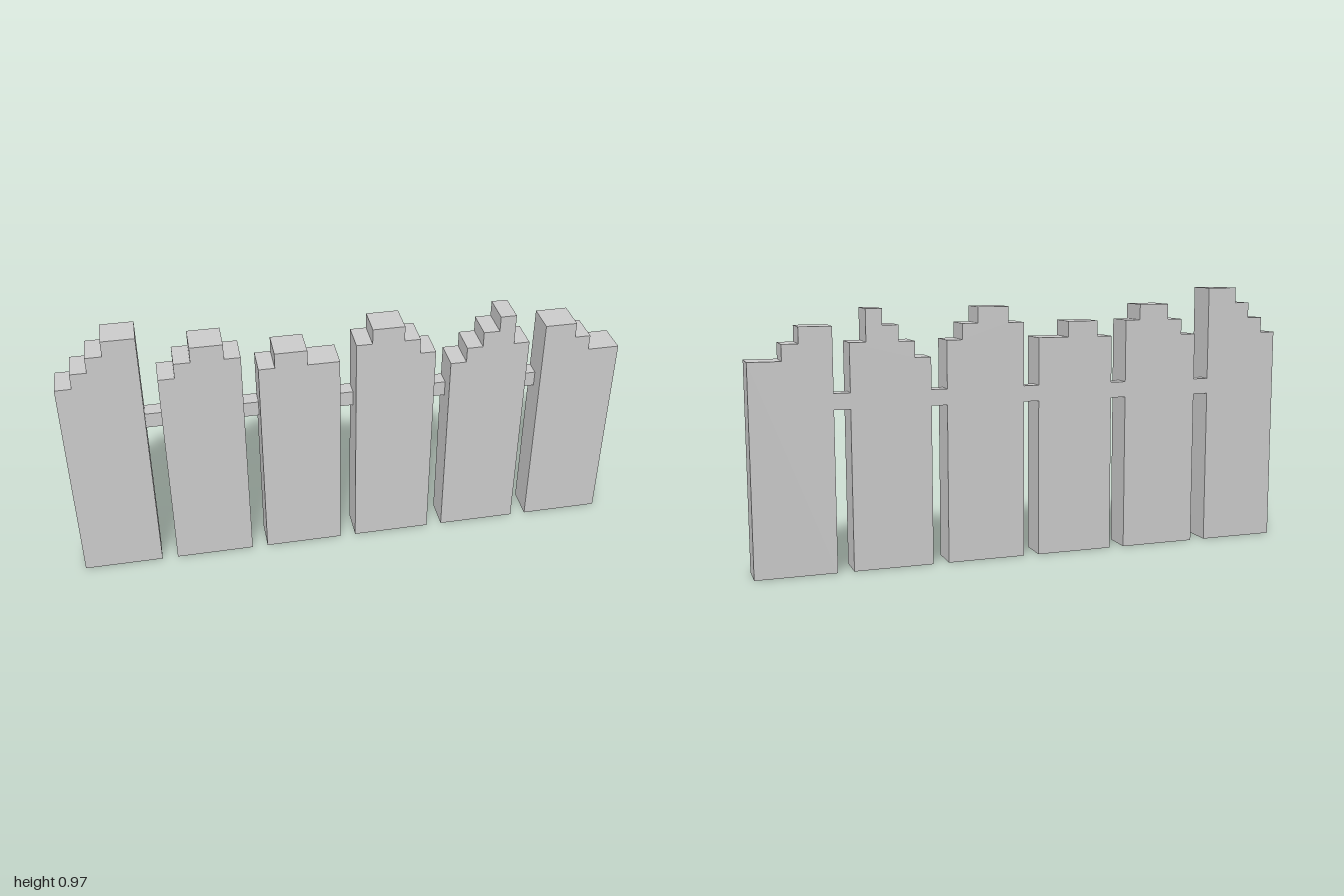
import * as THREE from 'three';

const U = 2 / 35; // one grid step

// column heights of each picket, left to right, in grid steps
const PICKETS = [
  [14, 15, 16, 17, 17],
  [14, 15, 16, 16, 15],
  [14, 15, 15, 14, 14],
  [15, 16, 16, 15, 14],
  [13, 14, 15, 16, 14],
  [15, 15, 14, 13, 13],
];

// stepped outline extruded to the picket's thickness
function picketGeometry(heights) {
  const shape = new THREE.Shape();
  shape.moveTo(0, 0);
  shape.lineTo(heights.length * U, 0);
  for (let i = heights.length - 1; i >= 0; i--) {
    if (heights[i] !== heights[i + 1]) shape.lineTo((i + 1) * U, heights[i] * U);
    if (heights[i] !== heights[i - 1]) shape.lineTo(i * U, heights[i] * U);
  }
  shape.closePath();
  return new THREE.ExtrudeGeometry(shape, { depth: 2 * U, bevelEnabled: false });
}

export function createModel() {
  const group = new THREE.Group();
  group.name = 'picketFence';
  const grey = new THREE.MeshStandardMaterial({ color: 0xcccccc });
  grey.name = 'light grey';

  PICKETS.forEach((heights, i) => {
    const picket = new THREE.Mesh(picketGeometry(heights), grey);
    picket.name = `picket${i + 1}`;
    picket.position.set(-1 + i * 6 * U, 0, -U);
    group.add(picket);

    // short rail bridging the gap, flush with the back
    if (i < PICKETS.length - 1) {
      const rail = new THREE.Mesh(new THREE.BoxGeometry(U, U, U), grey);
      rail.name = `rail${i + 1}`;
      rail.position.set(-1 + (i * 6 + 5.5) * U, 10.5 * U, -U / 2);
      group.add(rail);
    }
  });
  return group;
}
